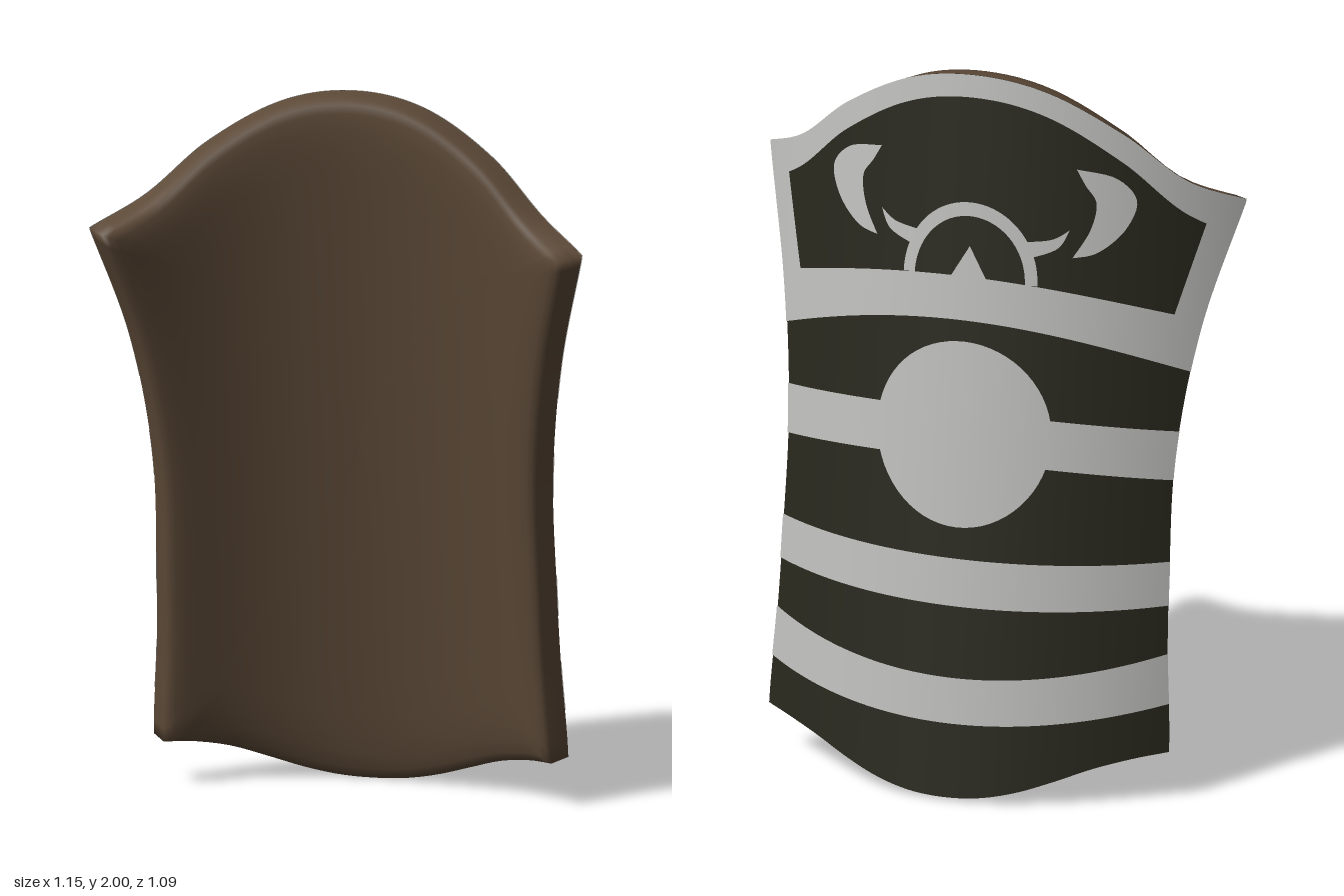
import * as THREE from 'three';

const material = (name, color) => {
  const m = new THREE.MeshStandardMaterial({ color, side: THREE.DoubleSide });
  m.name = name;
  return m;
};
const lerp = THREE.MathUtils.lerp;

// Smooth curve y(x) through a few points, level at the start and clamped at both ends
function profile(xs, ys) {
  const slope = i => {
    if (i === 0) return 0;
    const b = Math.min(i + 1, xs.length - 1);
    return (ys[b] - ys[i - 1]) / (xs[b] - xs[i - 1]);
  };
  return x => {
    if (x <= xs[0]) return ys[0];
    if (x >= xs[xs.length - 1]) return ys[ys.length - 1];
    let i = 0;
    while (x > xs[i + 1]) i++;
    const h = xs[i + 1] - xs[i], t = (x - xs[i]) / h, t2 = t * t, t3 = t2 * t;
    return (2 * t3 - 3 * t2 + 1) * ys[i] + (t3 - 2 * t2 + t) * h * slope(i)
      + (3 * t2 - 2 * t3) * ys[i + 1] + (t3 - t2) * h * slope(i + 1);
  };
}

// Outline: u runs across the shield, y runs up
const topCurve = profile([0, 0.2, 0.4, 0.55, 0.684], [2, 1.965, 1.85, 1.715, 1.64]);
const bottomCurve = profile([0, 0.1, 0.2, 0.3, 0.4, 0.5, 0.576], [0.01, 0.016, 0.037, 0.07, 0.105, 0.127, 0.135]);
const halfWidth = profile([0.13, 0.4, 0.6, 0.95, 1.3, 1.635], [0.576, 0.562, 0.557, 0.557, 0.6, 0.684]);
const topY = u => topCurve(Math.abs(u));
const bottomY = u => bottomCurve(Math.abs(u));

const R = 0.93, LEAN = 0.15, TURN = THREE.MathUtils.degToRad(42);
const C = Math.cos(TURN), S = Math.sin(TURN);

// Point on the leaning curved plate, d below its outer face
function surface(u, y, d = 0) {
  const a = Math.asin(u / R);
  const across = u - Math.sin(a) * d;
  const w = -0.44 + LEAN * y + R * (1 - Math.cos(a)) + Math.cos(a) * d;
  return [C * across + S * w, y - LEAN * d, -S * across + C * w];
}

// Position (s, t) between a lower and an upper curve, s = -1..1 from side to side
function between(s, t, low, high) {
  let u = s * 0.57, y = 1;
  for (let i = 0; i < 12; i++) {
    y = lerp(low(u), high(u), t);
    u = s * halfWidth(y);
  }
  return [u, y];
}

function gridGeometry(rows, cols, point, closed = false) {
  const positions = [], index = [], n = closed ? cols : cols + 1;
  for (let j = 0; j <= rows; j++)
    for (let i = 0; i < n; i++) positions.push(...point(i / cols, j / rows, j));
  for (let j = 0; j < rows; j++)
    for (let i = 0; i < cols; i++) {
      const a = j * n + i, b = j * n + (i + 1) % n;
      index.push(a, a + n, b, b, a + n, b + n);
    }
  const g = new THREE.BufferGeometry();
  g.setAttribute('position', new THREE.Float32BufferAttribute(positions, 3));
  g.setIndex(index);
  g.computeVertexNormals();
  return g;
}

export function createModel() {
  const group = new THREE.Group();
  const brown = material('brown leather', 0x5c4937);
  const dark = material('dark green', 0x27271d);
  const grey = material('pale grey', 0xbdbdbb);

  const add = (name, geometry, mat) => {
    const mesh = new THREE.Mesh(geometry, mat);
    mesh.name = name;
    group.add(mesh);
  };
  // Thin painted patch following the outer face; f(a, b) gives [u, y]
  const paint = (name, rows, cols, f) =>
    add(name, gridGeometry(rows, cols, (a, b) => surface(...f(a, b), -0.003)), grey);
  const band = (name, low, high) =>
    paint(name, 10, 70, (a, b) => between(2 * a - 1, b, low, high));

  // Outer face
  add('outerFace', gridGeometry(80, 70, (a, b) =>
    surface(...between(2 * a - 1, b, bottomY, topY))), dark);

  // Rim and softly rounded inner side: square rings from the rim inwards, [scale, depth]
  const rings = [[1, 0], [1, 0.03], [1, 0.06], [0.988, 0.072], [0.965, 0.08], [0.92, 0.086], [0.86, 0.089]];
  for (let k = 8; k >= 0; k--) rings.push([k / 10, 0.09]);
  add('rimAndInnerSide', gridGeometry(rings.length - 1, 160, (a, b, j) => {
    const [k, d] = rings[j];
    const side = Math.floor(a * 4), f = (a * 4 - side) * 2 - 1;
    const [s, t] = [[-f, -1], [-1, f], [f, 1], [1, -f]][side];
    return surface(...between(s * k, 0.5 + t * k / 2, bottomY, topY), d);
  }, true), brown);

  // Painted bands
  const bow = (y, rise) => u => y + rise * (u / 0.57) ** 2;
  band('lowestBand', bow(0.214, 0.055), bow(0.34, 0.07));
  band('lowerBand', bow(0.537, 0.005), bow(0.668, -0.005));
  band('middleBand', bow(0.94, -0.055), bow(1.075, -0.055));
  band('upperBand', bow(1.324, -0.135), bow(1.445, -0.11));
  band('topBorder', u => topY(u) - 0.062 - 0.09 * u * u, topY);

  // Painted disc
  paint('disc', 12, 64, (a, b) => [
    0.25 * b * Math.cos(a * Math.PI * 2), 1.01 + 0.256 * b * Math.sin(a * Math.PI * 2)]);

  // Painted arch with a small point inside
  paint('arch', 3, 40, (a, b) => {
    const r = lerp(0.158, 0.192, b);
    return [r * Math.cos(a * Math.PI), 1.435 + 1.12 * r * Math.sin(a * Math.PI)];
  });
  paint('archPoint', 4, 4, (a, b) => [(2 * a - 1) * 0.055 * (1 - b), 1.435 + 0.095 * b]);

  // Crescents lie between an outer and an inner curve
  const spline = pts => new THREE.SplineCurve(pts.map(q => new THREE.Vector2(...q)));
  const hornOuter = spline([[0.28, 1.76], [0.38, 1.735], [0.435, 1.67], [0.41, 1.59], [0.345, 1.53], [0.28, 1.515]]);
  const hornInner = spline([[0.28, 1.76], [0.305, 1.715], [0.335, 1.665], [0.322, 1.59], [0.28, 1.515]]);
  const armOuter = spline([[0.27, 1.592], [0.24, 1.54], [0.165, 1.51]]);
  const armInner = spline([[0.27, 1.592], [0.225, 1.565], [0.155, 1.555]]);

  for (const [side, m] of [['left', 1], ['right', -1]]) {
    const crescent = (name, outer, inner) => paint(side + name, 5, 28, (a, b) => {
      const q = outer.getPoint(a).lerp(inner.getPoint(a), b);
      return [m * q.x, q.y];
    });
    crescent('Horn', hornOuter, hornInner);
    crescent('Arm', armOuter, armInner);

    // Side border beside the upper panel
    paint(side + 'Border', 24, 8, (a, b) => {
      let u = 0.6, y = 1.4;
      for (let i = 0; i < 12; i++) {
        y = lerp(1.27, topY(u), b);
        const inner = lerp(0.525, 0.605, Math.min(1, Math.max(0, (y - 1.3) / 0.31)));
        u = lerp(inner, halfWidth(y), a);
      }
      return [m * u, y];
    });
  }
  return group;
}
